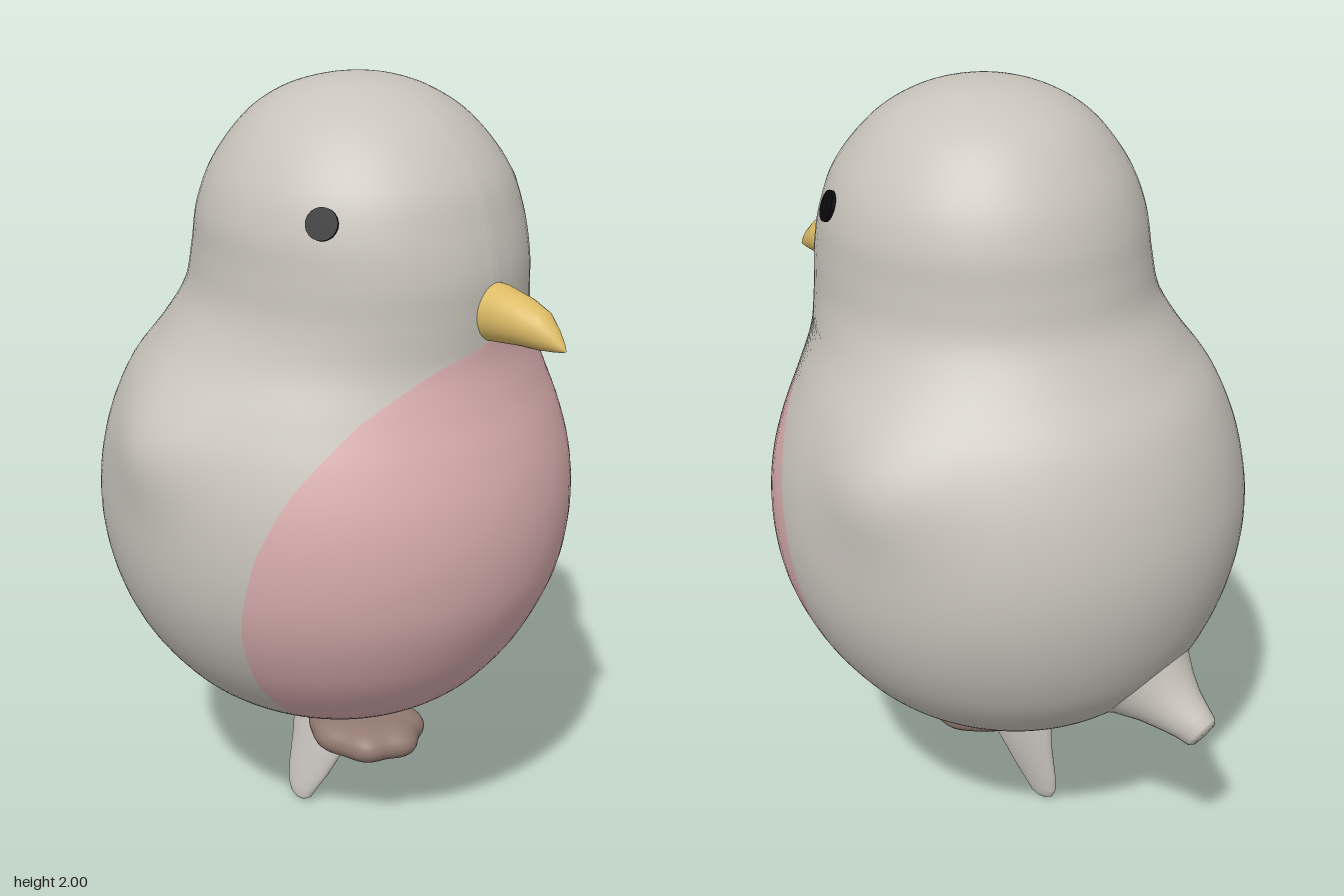
import * as THREE from 'three';

const mat = (name, color) => {
  const m = new THREE.MeshStandardMaterial({ color });
  m.name = name;
  return m;
};

// Smooth skin over closed rings of points; painted(i, j) picks the second material group.
function skin(rings, painted = () => false) {
  const n = rings[0].length;
  const plain = [], paint = [];
  for (let i = 0; i < rings.length - 1; i++) {
    for (let j = 0; j < n; j++) {
      const k = (j + 1) % n;
      const a = i * n + j, b = (i + 1) * n + j, c = i * n + k, d = (i + 1) * n + k;
      (painted(i, j) ? paint : plain).push(a, c, b, c, d, b);
    }
  }
  const g = new THREE.BufferGeometry().setFromPoints(rings.flat());
  g.setIndex([...plain, ...paint]);
  if (paint.length) {
    g.addGroup(0, plain.length, 0);
    g.addGroup(plain.length, paint.length, 1);
  }
  g.computeVertexNormals();
  return g;
}

// Loft of ellipses along direction (dx, dy): rows are [x, y, z, radius in xy, radius in z].
function loft(dx, dy, rows, shape = () => 1, n = 32) {
  const l = Math.hypot(dx, dy);
  return skin(rows.map(([x, y, z, ru, rv]) => Array.from({ length: n }, (_, j) => {
    const a = (j / n) * Math.PI * 2, s = shape(a);
    const u = Math.cos(a) * ru * s;
    return new THREE.Vector3(x - (dy / l) * u, y + (dx / l) * u, z + Math.sin(a) * rv * s);
  })));
}

// Body outline: [height, back x, front x, half depth in z]
const outline = [
  [2.0, 0.039, 0.041, 0.001], [1.992, -0.05, 0.13, 0.09], [1.96, -0.15, 0.225, 0.18],
  [1.9, -0.235, 0.315, 0.265], [1.8, -0.31, 0.40, 0.34], [1.7, -0.35, 0.44, 0.377],
  [1.6, -0.37, 0.463, 0.387], [1.5, -0.395, 0.465, 0.40], [1.4, -0.46, 0.465, 0.44],
  [1.3, -0.54, 0.49, 0.50], [1.2, -0.588, 0.525, 0.547], [1.1, -0.617, 0.553, 0.577],
  [1.0, -0.632, 0.566, 0.59], [0.9, -0.63, 0.563, 0.588], [0.8, -0.612, 0.545, 0.57],
  [0.7, -0.58, 0.506, 0.533], [0.6, -0.53, 0.45, 0.475], [0.5, -0.445, 0.365, 0.39],
  [0.43, -0.345, 0.265, 0.29], [0.4, -0.24, 0.18, 0.20], [0.388, -0.12, 0.09, 0.10],
  [0.385, -0.011, -0.009, 0.001],
];

// Front breast patch edge: [height, x]
const breastEdge = [[1.445, 0.47], [1.4, 0.43], [1.3, 0.355], [1.15, 0.278], [1.0, 0.222],
  [0.8, 0.17], [0.6, 0.138], [0.38, 0.125]];
function edgeX(y) {
  for (let i = 1; i < breastEdge.length; i++) {
    const [y0, x0] = breastEdge[i - 1], [y1, x1] = breastEdge[i];
    if (y >= y1) return x0 + ((x1 - x0) * (y - y0)) / (y1 - y0);
  }
  return 0.125;
}

function bodyGeometry() {
  const curve = (f) => new THREE.CatmullRomCurve3(outline.map(f), false, 'catmullrom', 0.5);
  const sides = curve(([y, back, front]) => new THREE.Vector3(back, y, front));
  const depths = curve(([y, , , d]) => new THREE.Vector3(0, y, d));
  const rows = 126, nBreast = 32, nRest = 64;
  const heights = [];
  const rings = Array.from({ length: rows + 1 }, (_, i) => {
    const { x: back, y, z: front } = sides.getPoint(i / rows);
    const rz = depths.getPoint(i / rows).z;
    const cx = (back + front) / 2, rx = (front - back) / 2;
    heights.push(y);
    // the breast edge always falls on the same columns
    const cos = THREE.MathUtils.clamp((edgeX(y) - cx) / rx, -1, 1);
    const phi = Math.max(0.03, Math.acos(cos));
    return Array.from({ length: nBreast + nRest }, (_, j) => {
      const a = j <= nBreast
        ? -phi + (2 * phi * j) / nBreast
        : phi + ((2 * Math.PI - 2 * phi) * (j - nBreast)) / nRest;
      const x = cx + rx * Math.cos(a), s = Math.sin(a);
      // folded wing swelling on each side
      const wing = 0.05 * Math.exp(-(((x + 0.1) / 0.17) ** 2) - ((y - 1.22) / 0.15) ** 2);
      return new THREE.Vector3(x, y, rz * s + wing * THREE.MathUtils.clamp(s * 2, -1, 1));
    });
  });
  return skin(rings, (i, j) => j < nBreast && heights[i] < 1.45 && heights[i + 1] > 0.386);
}

export function createModel() {
  const model = new THREE.Group();
  model.name = 'bird';
  const grey = mat('feather grey', 0xc8c4bb);
  const pink = mat('breast pink', 0xd9adad);
  const gold = mat('beak gold', 0xdcbb66);
  const brown = mat('foot brown', 0x927a70);
  const black = mat('eye black', 0x0a0a0a);
  const pale = mat('leg pale grey', 0xd0ccc7);

  const add = (name, geometry, material) => {
    const mesh = new THREE.Mesh(geometry, material);
    mesh.name = name;
    model.add(mesh);
    return mesh;
  };

  add('body', bodyGeometry(), [grey, pink]);

  // Beak, drooping to a point
  add('beak', loft(1, 0, [
    [0.40, 1.512, 0, 0.072, 0.062], [0.48, 1.514, 0, 0.067, 0.06], [0.55, 1.508, 0, 0.055, 0.055],
    [0.60, 1.498, 0, 0.045, 0.042], [0.635, 1.482, 0, 0.026, 0.023], [0.655, 1.47, 0, 0.011, 0.01],
    [0.665, 1.463, 0, 0.001, 0.001],
  ]), gold);

  // Short tail flaring into the body
  add('tail', loft(-0.2, -0.12, [
    [-0.43, 0.61, 0, 0.19, 0.19], [-0.49, 0.58, 0, 0.125, 0.13], [-0.54, 0.55, 0, 0.09, 0.095],
    [-0.58, 0.525, 0, 0.07, 0.072], [-0.62, 0.505, 0, 0.056, 0.055], [-0.65, 0.487, 0, 0.047, 0.046],
    [-0.658, 0.482, 0, 0.036, 0.035], [-0.661, 0.48, 0, 0.001, 0.001],
  ]), grey);

  // Hanging flat leg, swinging slightly to the side
  add('hangingLeg', loft(0, -1, [
    [-0.06, 0.46, -0.005, 0.12, 0.045], [-0.065, 0.33, 0.005, 0.11, 0.042],
    [-0.075, 0.2, 0.022, 0.094, 0.035], [-0.1, 0.1, 0.04, 0.069, 0.026],
    [-0.115, 0.045, 0.049, 0.05, 0.02], [-0.116, 0.018, 0.053, 0.036, 0.015],
    [-0.116, 0.006, 0.055, 0.018, 0.008], [-0.116, 0.001, 0.056, 0.001, 0.001],
  ]), pale);

  // Short standing leg that hooks into the back of the foot
  add('standingLeg', loft(0, -1, [
    [-0.02, 0.46, 0, 0.085, 0.07], [-0.022, 0.37, 0, 0.08, 0.066], [-0.03, 0.32, 0, 0.068, 0.06],
    [-0.04, 0.28, 0, 0.055, 0.052], [-0.045, 0.255, 0, 0.04, 0.04], [-0.045, 0.248, 0, 0.001, 0.001],
  ]), pale);

  // Rounded foot with scalloped toes
  const footRows = Array.from({ length: 15 }, (_, i) => {
    const t = (i / 14) * Math.PI;
    const r = Math.max(0.005, Math.sqrt(Math.sin(t)));
    return [0.075, 0.285 + 0.05 * Math.cos(t), 0, 0.16 * r, 0.142 * r];
  });
  const toes = (a) => 1 + 0.045 * Math.cos(a * 7) * Math.max(0, Math.cos(a / 2));
  add('foot', loft(0, -1, footRows, (a) => toes(a > Math.PI ? a - 2 * Math.PI : a), 84), brown);

  // Eyes: thin discs lying on the head
  for (const side of [1, -1]) {
    const eye = add(side > 0 ? 'leftSideEye' : 'rightSideEye',
      new THREE.CylinderGeometry(0.037, 0.037, 0.009, 20), black);
    eye.position.set(0.236, 1.736, side * 0.327);
    const normal = new THREE.Vector3(0.19, 0.14, side * 0.34).normalize();
    eye.quaternion.setFromUnitVectors(new THREE.Vector3(0, 1, 0), normal);
  }
  return model;
}
